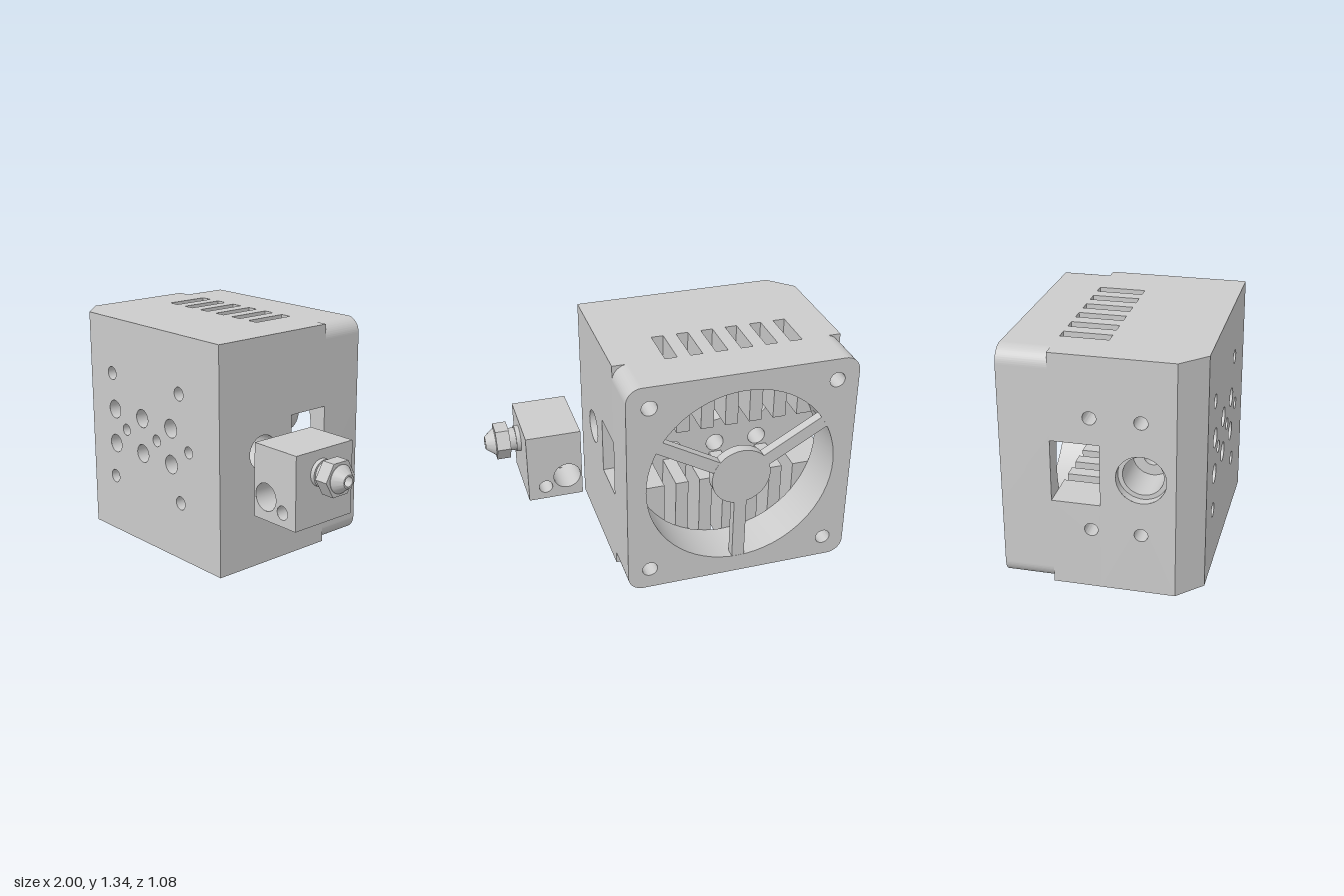
import * as THREE from 'three';
import { toCreasedNormals } from 'three/addons/utils/BufferGeometryUtils.js';

const grey = new THREE.MeshStandardMaterial({ color: 0xcccccc });
const open = new THREE.MeshStandardMaterial({ color: 0xcccccc, side: THREE.DoubleSide });

function add(parent, name, geometry, material = grey) {
  const mesh = new THREE.Mesh(geometry, material);
  mesh.name = name;
  parent.add(mesh);
  return mesh;
}

// Outline from points, with round holes [u, v, radius]
function outline(points, holes = []) {
  const shape = new THREE.Shape(points.map(([u, v]) => new THREE.Vector2(u, v)));
  for (const [u, v, r] of holes) {
    shape.holes.push(new THREE.Path().absarc(u, v, r, 0, Math.PI * 2, true));
  }
  return shape;
}
const rect = (u0, u1, v0, v1) => [[u0, v0], [u1, v0], [u1, v1], [u0, v1]];

// Flat face across an axis: x uses (z, y), y uses (x, z), z uses (x, y)
function panel(parent, name, axis, at, shape) {
  const mesh = add(parent, name, new THREE.ShapeGeometry(shape, 24), open);
  mesh.position[axis] = at;
  if (axis === 'x') mesh.rotation.y = -Math.PI / 2;
  if (axis === 'y') mesh.rotation.x = Math.PI / 2;
}

// Surface turned around a line parallel to x; points are [radius, x]
function turnedX(parent, name, points, y, z) {
  const lathe = new THREE.LatheGeometry(points.map(([r, x]) => new THREE.Vector2(r, x)), 40);
  const mesh = add(parent, name, toCreasedNormals(lathe.rotateZ(-Math.PI / 2), 0.4), open);
  mesh.position.set(0, y, z);
}

// Wall of a drilled hole, optionally with a floor at the "to" end
function drill(parent, name, axis, [x, y, z], r, from, to, floor = false) {
  const hole = new THREE.Group();
  hole.name = name;
  const length = Math.abs(to - from);
  add(hole, 'holeWall', new THREE.CylinderGeometry(r, r, length, 32, 1, true), open);
  if (floor) {
    const disc = new THREE.CircleGeometry(r, 32).rotateX(-Math.PI / 2);
    add(hole, 'holeFloor', disc.translate(0, Math.sign(to - from) * length / 2, 0), open);
  }
  if (axis === 'x') hole.rotation.z = -Math.PI / 2;
  if (axis === 'z') hole.rotation.x = Math.PI / 2;
  hole.position.set(x, y, z);
  hole.position[axis] = (from + to) / 2;
  parent.add(hole);
}

const L = -1, R = 0.34, H = 1.34, F = 0.54, MID = -0.265, CH = 0.135;
const AX_Y = 0.675, AX_Z = 0.22;

function heatSink() {
  const g = new THREE.Group();
  g.name = 'heatSink';

  // Solid base with its drilled front
  const through = [];
  for (const x of [-0.63, -0.36, -0.09]) for (const y of [0.565, 0.78]) through.push([x, y, 0.055]);
  const screws = [-0.52, -0.225, 0.07].map(x => [x, AX_Y, 0.035]);
  const mounts = [];
  for (const x of [-0.65, -0.01]) for (const y of [0.35, 1.0]) mounts.push([x, y, 0.04]);

  panel(g, 'baseFront', 'z', F, outline(rect(L + CH, R, 0, H), [...through, ...screws, ...mounts]));
  panel(g, 'baseBack', 'z', 0, outline(rect(L, R, 0, H), through));
  for (const [x, y, r] of through) drill(g, 'throughHole', 'z', [x, y, 0], r, F, 0);
  for (const [x, y, r] of screws) drill(g, 'setScrewHole', 'z', [x, y, 0], r, F, 0.27);
  for (const [x, y, r] of mounts) drill(g, 'mountHole', 'z', [x, y, 0], r, F, 0.3, true);

  const top = [[L, 0], [R, 0], [R, F], [L + CH, F], [L, F - CH]];
  panel(g, 'baseTop', 'y', H, outline(top));
  panel(g, 'baseBottom', 'y', 0, outline(top));
  const sideHoles = [0.35, 1.0].map(y => [AX_Z, y, 0.037]);
  panel(g, 'baseRightSide', 'x', L, outline(rect(0, F - CH, 0, H), [[AX_Z, AX_Y, 0.135], ...sideHoles]));
  panel(g, 'baseLeftSide', 'x', R, outline(rect(0, F, 0, H), [[AX_Z, AX_Y, 0.1]]));
  const chamfer = add(g, 'chamferedEdge', new THREE.PlaneGeometry(CH * Math.SQRT2, H), open);
  chamfer.position.set(L + CH / 2, H / 2, F - CH / 2);
  chamfer.rotation.y = -Math.PI / 4;
  for (const [z, y, r] of sideHoles) drill(g, 'sideHole', 'x', [0, y, z], r, L, L + 0.2, true);

  // Stepped bore running right through the base
  turnedX(g, 'feedBore', [[0.135, L], [0.135, -0.95], [0.11, -0.95], [0.11, -0.72],
    [0.05, -0.72], [0.05, 0], [0.1, 0], [0.1, R]], AX_Y, AX_Z);

  // Fins and end walls, split by the cross channel
  const edges = [L];
  for (let i = 0; i < 6; i++) edges.push(-0.765 + i * 0.147, -0.695 + i * 0.147);
  edges.push(R);
  for (let i = 0; i < edges.length; i += 2) {
    const w = edges[i + 1] - edges[i];
    for (const [y0, y1, holeY] of [[0, 0.5, 0.35], [0.85, H, 1.0]]) {
      if (i === 0) {
        // Drilled end wall
        const wall = new THREE.ExtrudeGeometry(
          outline(rect(MID, 0, y0, y1), [[-0.05, holeY, 0.037]]),
          { depth: w, bevelEnabled: false, curveSegments: 24 });
        const mesh = add(g, 'endWall', toCreasedNormals(wall, 0.5));
        mesh.rotation.y = -Math.PI / 2;
        mesh.position.x = L + w;
      } else {
        const fin = add(g, i === edges.length - 2 ? 'endWall' : 'fin',
          new THREE.BoxGeometry(w, y1 - y0, -MID));
        fin.position.set(edges[i] + w / 2, (y0 + y1) / 2, MID / 2);
      }
    }
  }
  return g;
}

function fanFrame() {
  const g = new THREE.Group();
  g.name = 'fanFrame';
  const h = H / 2, c = 0.09, k = h - c;

  // Rounded square housing with a round duct and corner holes
  const shape = new THREE.Shape();
  shape.absarc(k, k, c, 0, Math.PI / 2);
  shape.absarc(-k, k, c, Math.PI / 2, Math.PI);
  shape.absarc(-k, -k, c, Math.PI, Math.PI * 1.5);
  shape.absarc(k, -k, c, Math.PI * 1.5, Math.PI * 2);
  shape.holes.push(new THREE.Path().absarc(0, 0, 0.56, 0, Math.PI * 2, true));
  for (const x of [-0.54, 0.54]) for (const y of [-0.54, 0.54]) {
    shape.holes.push(new THREE.Path().absarc(x, y, 0.045, 0, Math.PI * 2, true));
  }
  const housing = new THREE.ExtrudeGeometry(shape, { depth: F + MID, bevelEnabled: false, curveSegments: 32 });
  add(g, 'housing', toCreasedNormals(housing, 0.5));

  // Hub carried by three struts
  const hub = add(g, 'hub', new THREE.CylinderGeometry(0.175, 0.175, 0.06, 48));
  hub.rotation.x = Math.PI / 2;
  hub.position.z = 0.03;
  for (const a of [Math.PI / 6, Math.PI * 5 / 6, Math.PI * 1.5]) {
    const strut = add(g, 'strut', new THREE.BoxGeometry(0.44, 0.075, 0.058));
    strut.position.set(Math.cos(a) * 0.355, Math.sin(a) * 0.355, 0.03);
    strut.rotation.z = a;
  }
  g.position.set((L + R) / 2, h, -F);
  return g;
}

function heaterBlock() {
  const g = new THREE.Group();
  g.name = 'heaterBlock';
  const x0 = 0.475, x1 = 0.797, y0 = 0.38, y1 = 0.805, z0 = -0.02, z1 = 0.405;
  const cross = [[0.565, 0.515, 0.08], [0.695, 0.46, 0.04]];
  const under = [[0.565, AX_Z, 0.033], [0.685, AX_Z, 0.033]];
  for (const z of [z0, z1]) panel(g, 'blockFace', 'z', z, outline(rect(x0, x1, y0, y1), cross));
  panel(g, 'blockTop', 'y', y1, outline(rect(x0, x1, z0, z1)));
  panel(g, 'blockBottom', 'y', y0, outline(rect(x0, x1, z0, z1), under));
  panel(g, 'blockInlet', 'x', x0, outline(rect(z0, z1, y0, y1), [[AX_Z, AX_Y, 0.078]]));
  panel(g, 'blockOutlet', 'x', x1, outline(rect(z0, z1, y0, y1), [[AX_Z, AX_Y, 0.028]]));
  for (const [x, y, r] of cross) drill(g, 'crossHole', 'z', [x, y, 0], r, z0, z1);
  under.forEach(([x, z, r], i) => drill(g, 'clampScrewHole', 'y', [x, 0, z], r, y0, i ? 0.425 : 0.437));
  turnedX(g, 'blockBore', [[0.078, x0], [0.078, 0.77], [0.028, 0.77], [0.028, x1]], AX_Y, AX_Z);
  return g;
}

function nozzle() {
  const g = new THREE.Group();
  g.name = 'nozzle';
  // Neck, tip and inner channel in one turned profile
  turnedX(g, 'nozzleBody', [[0.078, 0.797], [0.078, 0.823], [0.067, 0.823], [0.067, 0.9],
    [0.08, 0.9], [0.08, 0.945], [0.038, 1], [0.028, 1], [0.028, 0.797]], AX_Y, AX_Z);
  // Hexagon collar with flats at top and bottom
  const corners = [];
  for (let i = 0; i < 6; i++) corners.push([Math.cos(i * Math.PI / 3) * 0.108, Math.sin(i * Math.PI / 3) * 0.108]);
  const hex = add(g, 'hexCollar', new THREE.ExtrudeGeometry(outline(corners, [[0, 0, 0.06]]),
    { depth: 0.08, bevelEnabled: false, curveSegments: 24 }));
  hex.rotation.y = Math.PI / 2;
  hex.position.set(0.862, AX_Y, AX_Z);
  return g;
}

export function createModel() {
  const model = new THREE.Group();
  model.name = 'extruderHotEnd';
  model.add(heatSink(), fanFrame(), heaterBlock(), nozzle());
  return model;
}
